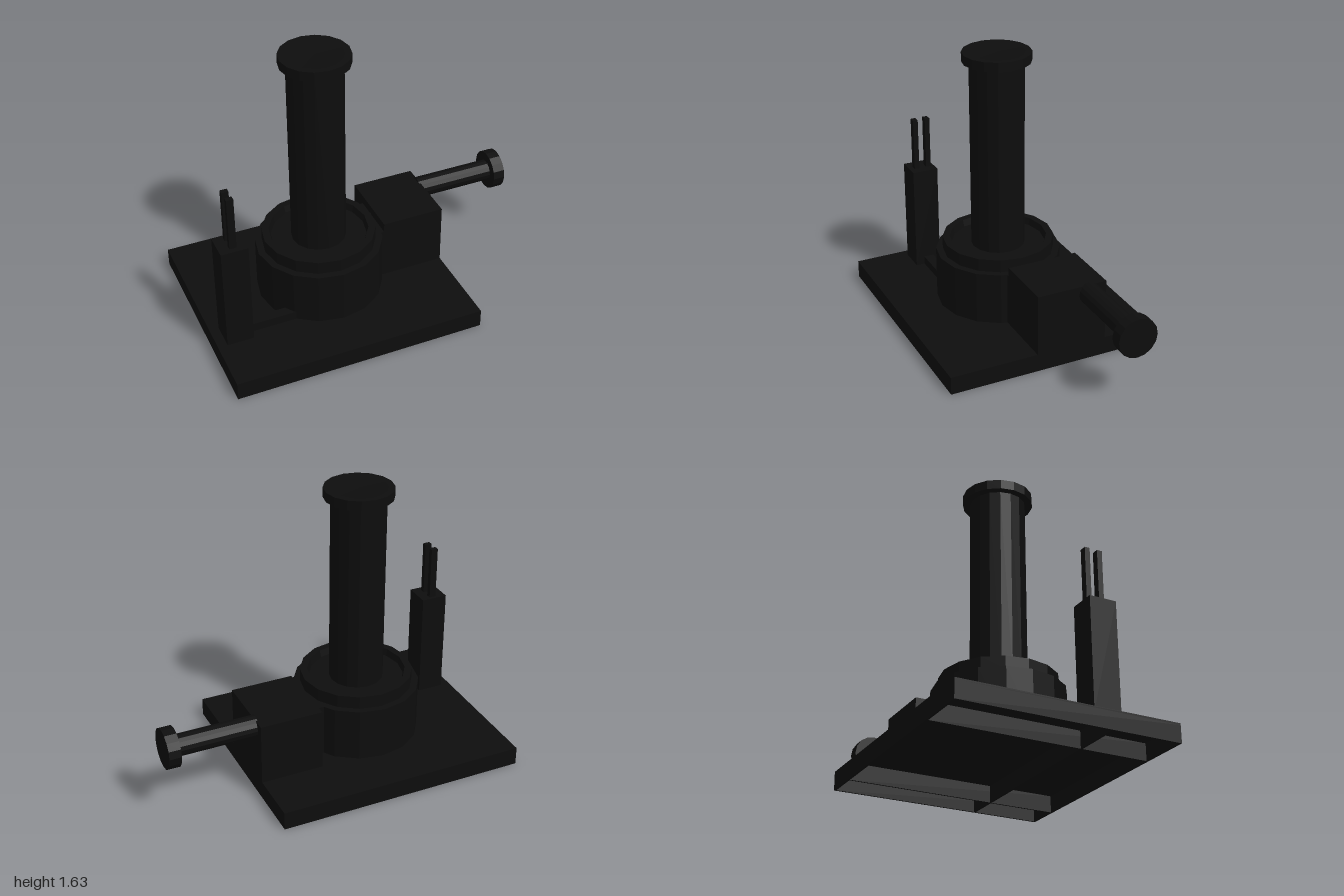
import * as THREE from 'three';

const black = new THREE.MeshStandardMaterial({ color: 0x0d0d0d, flatShading: true });
black.name = 'black';

export function createModel() {
  const model = new THREE.Group();
  model.name = 'chimneyStation';

  const add = (name, geometry) => {
    const mesh = new THREE.Mesh(geometry, black);
    mesh.name = name;
    model.add(mesh);
    return mesh;
  };
  // Box given by its limits on each axis
  const box = (name, x0, x1, y0, y1, z0, z1) =>
    add(name, new THREE.BoxGeometry(x1 - x0, y1 - y0, z1 - z0))
      .position.set((x0 + x1) / 2, (y0 + y1) / 2, (z0 + z1) / 2);
  // Upright turned part on the chimney axis
  const turned = (name, points) =>
    add(name, new THREE.LatheGeometry(points.map(([r, y]) => new THREE.Vector2(r, y)), 16))
      .position.x = -0.265;
  // Cylinder lying along x
  const pipe = (name, r, x0, x1) => {
    const mesh = add(name, new THREE.CylinderGeometry(r, r, x1 - x0, 16));
    mesh.rotation.z = -Math.PI / 2;
    mesh.position.set((x0 + x1) / 2, 0.422, -0.213);
  };

  // Hollow base: top plate, outer walls and stiffening ribs
  const H = 0.107, T = 0.01;
  box('baseTop', -1, 0.47, H - T, H, -0.63, 0.63);
  for (const x of [-1, 0.47 - T]) box('baseSideWall', x, x + T, 0, H - T, -0.63, 0.63);
  for (const z of [-0.63, 0.63 - T]) box('baseEndWall', -1 + T, 0.47 - T, 0, H - T, z, z + T);
  for (const x of [-0.7, 0.27]) box('crossRib', x - T / 2, x + T / 2, 0, H - T, -0.62, 0.62);
  box('longRib', -0.99, 0.46, 0, H - T, 0.225, 0.235);

  // Stepped drum with a sunken top
  turned('drum', [[0.367, H], [0.367, 0.42], [0.327, 0.42], [0.327, 0.495],
    [0.285, 0.495], [0.275, 0.455], [0.1, 0.455]]);

  // Chimney and its cap
  turned('chimney', [[0.157, 0.45], [0.157, 1.58]]);
  turned('chimneyCap', [[0.15, 1.58], [0.198, 1.58], [0.198, 1.635], [0.16, 1.635], [0, 1.63]]);

  // Side housing with outlet pipe and flange
  box('housing', 0.1, 0.47, H, 0.473, -0.32, 0.105);
  box('housingLink', -0.05, 0.1, H, 0.42, -0.2, 0.105);
  pipe('outletPipe', 0.063, 0.46, 0.935);
  pipe('outletFlange', 0.117, 0.93, 1);

  // Small tower with two rods and a duct to the drum
  box('tower', -0.945, -0.79, H, 0.74, 0.16, 0.317);
  for (const z of [0.195, 0.27]) box('towerRod', -0.885, -0.845, 0.74, 1.055, z - 0.015, z + 0.015);
  box('duct', -0.79, -0.5, H, 0.157, 0.205, 0.265);

  return model;
}
